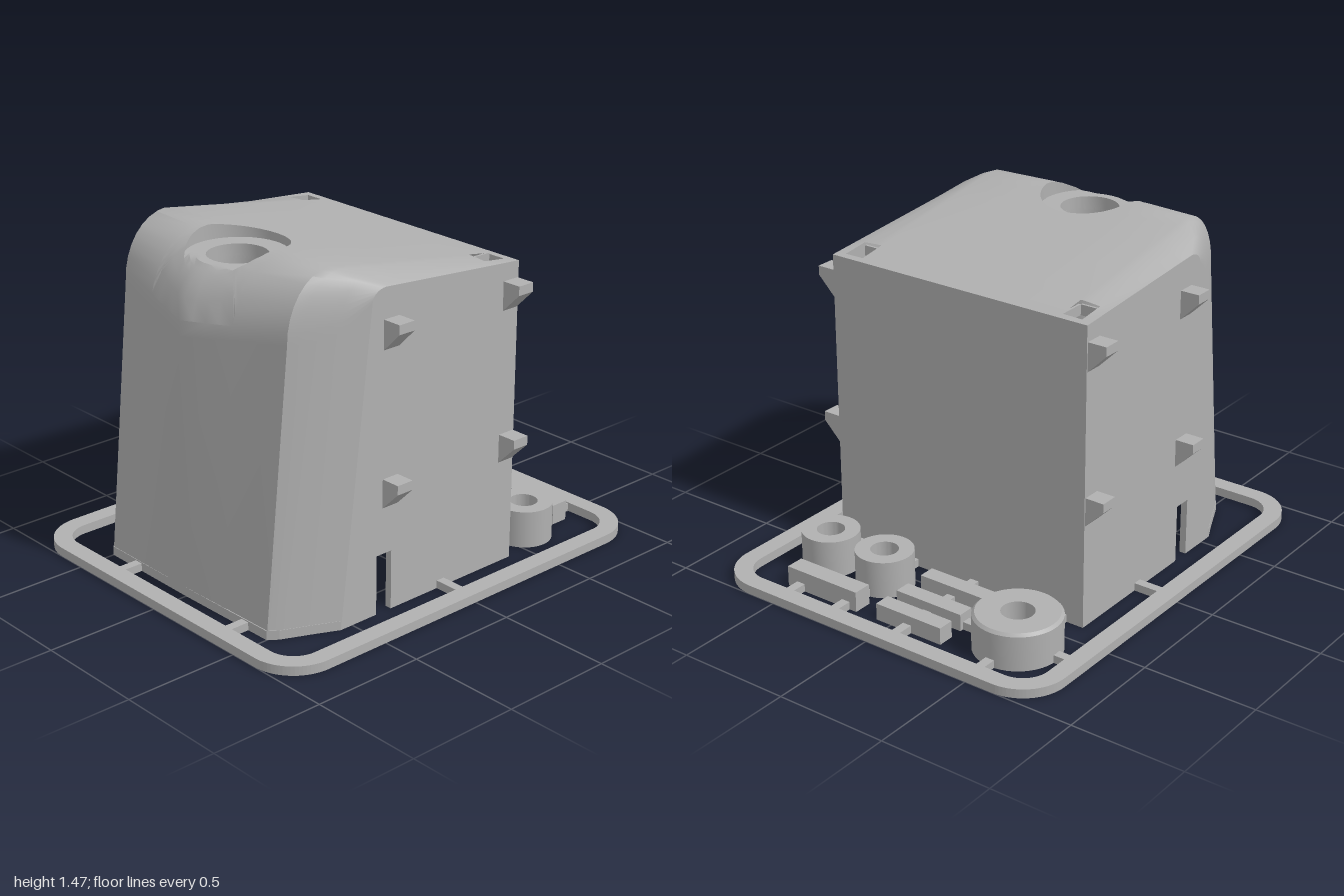
import * as THREE from 'three';
import { toCreasedNormals } from 'three/addons/utils/BufferGeometryUtils.js';

const grey = new THREE.MeshStandardMaterial({ color: 0xb0b0b0, side: THREE.DoubleSide });
grey.name = 'light grey plastic';

// Hood cross-sections: z, base x, shoulder x/y, crest x/y
const SECTIONS = [
  [0, -0.835, -0.835, 1.13, -0.5, 1.465],
  [0.5, -0.83, -0.71, 1.2, -0.5, 1.465],
  [0.53, -0.79, -0.66, 1.2, -0.48, 1.455],
  [0.59, -0.655, -0.52, 1.23, -0.42, 1.42],
  [0.635, -0.56, -0.4, 1.33, -0.33, 1.38],
];
const END = [0.4, 1.32];
const HALF = 0.635;
const HOLE = { x: -0.53, outer: 0.21, inner: 0.125, floor: 1.4 };

const lerp = THREE.MathUtils.lerp;

// Side profile of the hood at a given z, from nose base to the tall end wall
function profile(z) {
  const a = Math.abs(z);
  let k = 0;
  while (k < SECTIONS.length - 2 && a > SECTIONS[k + 1][0]) k++;
  const A = SECTIONS[k], B = SECTIONS[k + 1];
  const t = (a - A[0]) / (B[0] - A[0]);
  const [, bx, sx, sy, cx, cy] = A.map((v, i) => lerp(v, B[i], t));
  const pts = [[bx, 0]];
  for (let i = 0; i <= 8; i++) {
    const q = (i / 8) * Math.PI / 2;
    pts.push([cx - (cx - sx) * Math.cos(q), sy + (cy - sy) * Math.sin(q)]);
  }
  const roofY = (x) => lerp(cy, END[1], (x - cx) / (END[0] - cx));
  for (const f of [1 / 3, 2 / 3, 1]) { const x = lerp(cx, -0.25, f); pts.push([x, roofY(x)]); }
  for (const x of [0.25, 0.37, 0.4]) pts.push([x, roofY(x)]);
  return pts;
}

function heightAt(x, z) {
  const p = profile(z);
  for (let i = 1; i < p.length; i++) {
    if (x <= p[i][0]) {
      const d = p[i][0] - p[i - 1][0];
      return d < 1e-6 ? p[i][1] : lerp(p[i - 1][1], p[i][1], (x - p[i - 1][0]) / d);
    }
  }
  return END[1];
}

// Nose and roof skin, with a counterbored round hole and two corner sockets
function hoodGeometry() {
  const half = [0.125, 0.25, 0.5, 0.53, 0.59, 0.635];
  const zs = [...half.map((z) => -z).reverse(), 0, ...half];
  const grid = zs.map((z) => profile(z).map(([x, y]) => [x, y, z]));
  const pos = [];
  const quad = (a, b, c, d) => pos.push(...a, ...b, ...c, ...a, ...c, ...d);
  const r0 = 2, r1 = 12;
  for (let j = 0; j < zs.length - 1; j++) {
    const zm = Math.abs(zs[j] + zs[j + 1]) / 2;
    for (let i = 0; i < grid[0].length - 1; i++) {
      if (zm < 0.25 && i >= r0 && i < r1) continue;
      if (zm > 0.5 && zm < 0.59 && i === 13) continue;
      quad(grid[j][i], grid[j + 1][i], grid[j + 1][i + 1], grid[j][i + 1]);
    }
  }
  // boundary of the gap around the round hole
  const j0 = zs.indexOf(-0.25), j1 = zs.indexOf(0.25), loop = [];
  for (let i = r0; i < r1; i++) loop.push(grid[j0][i]);
  for (let j = j0; j < j1; j++) loop.push(grid[j][r1]);
  for (let i = r1; i > r0; i--) loop.push(grid[j1][i]);
  for (let j = j1; j > j0; j--) loop.push(grid[j][r0]);
  const fine = loop.flatMap((p, i) => {
    const n = loop[(i + 1) % loop.length];
    return [p, p.map((v, k) => (v + n[k]) / 2)];
  });
  // spokes running from the gap boundary to the circle, down the step and into the bore
  const spokes = fine.map((p) => {
    const dx = p[0] - HOLE.x, dz = p[2], d = Math.hypot(dx, dz);
    const at = (r) => [HOLE.x + dx / d * r, dz / d * r];
    const out = [p];
    for (const f of [1 / 3, 2 / 3, 1]) {
      const [x, z] = at(lerp(d, HOLE.outer, f));
      out.push([x, heightAt(x, z), z]);
    }
    for (const f of [0, 0.25, 0.5, 0.75, 1]) {
      const [x, z] = at(lerp(HOLE.outer, HOLE.inner, f));
      out.push([x, Math.min(heightAt(x, z), HOLE.floor), z]);
    }
    const [x, z] = at(HOLE.inner);
    out.push([x, 1.34, z]);
    return out;
  });
  spokes.forEach((s, i) => {
    const n = spokes[(i + 1) % spokes.length];
    for (let k = 0; k < s.length - 1; k++) quad(s[k], s[k + 1], n[k + 1], n[k]);
  });
  const g = new THREE.BufferGeometry();
  g.setAttribute('position', new THREE.Float32BufferAttribute(pos, 3));
  return toCreasedNormals(g, 0.6);
}

const shapeOf = (pts) => new THREE.Shape(pts.map(([x, y]) => new THREE.Vector2(x, y)));
const extrude = (shape, depth) =>
  new THREE.ExtrudeGeometry(shape, { depth, bevelEnabled: false, curveSegments: 10 });

function roundRect(S, w, h, r) {
  const s = new S();
  s.absarc(w - r, h - r, r, 0, Math.PI / 2);
  s.absarc(-w + r, h - r, r, Math.PI / 2, Math.PI);
  s.absarc(-w + r, -h + r, r, Math.PI, Math.PI * 1.5);
  s.absarc(w - r, -h + r, r, Math.PI * 1.5, Math.PI * 2);
  s.closePath();
  return s;
}

// Hollow round part with an optional chamfer on its top edge
function ring(inner, outer, y0, y1, chamfer = 0) {
  const pts = [[inner, y0], [outer, y0], [outer, y1 - chamfer], [outer - chamfer, y1], [inner, y1], [inner, y0]];
  const g = new THREE.LatheGeometry(pts.map(([x, y]) => new THREE.Vector2(x, y)), 48);
  return toCreasedNormals(g, 0.6);
}

export function createModel() {
  const model = new THREE.Group();
  model.name = 'partsOnFrame';
  const add = (name, geometry, x = 0, y = 0, z = 0) => {
    const m = new THREE.Mesh(geometry, grey);
    m.name = name;
    m.position.set(x, y, z);
    model.add(m);
    return m;
  };
  // box given by its x, y and z ranges
  const block = (name, x0, x1, y0, y1, z0, z1) =>
    add(name, new THREE.BoxGeometry(x1 - x0, y1 - y0, z1 - z0), (x0 + x1) / 2, (y0 + y1) / 2, (z0 + z1) / 2);

  // Flat frame
  const frame = roundRect(THREE.Shape, 1, 0.83, 0.2);
  frame.holes.push(roundRect(THREE.Path, 0.92, 0.75, 0.12));
  add('frame', extrude(frame, 0.04).rotateX(-Math.PI / 2));

  // Hood
  add('hoodSkin', hoodGeometry());
  block('endWall', 0.37, 0.4, 0, 1.32, -HALF, HALF);
  const wall = shapeOf([...profile(HALF), [0.4, 0], [-0.29, 0], [-0.29, 0.26], [-0.37, 0.26], [-0.37, 0]]);
  add('leftWall', extrude(wall, 0.03), 0, 0, HALF - 0.03);
  add('rightWall', extrude(wall, 0.03), 0, 0, -HALF);
  const base = [-1, 1].flatMap((s) => {
    const half = SECTIONS.map((q) => [q[1], s * q[0]]);
    return s < 0 ? half.reverse() : half.slice(1);
  });
  const inner = base.map(([x, z]) => [x + 0.04, z * 0.95]).reverse();
  add('noseRim', extrude(shapeOf([...base, ...inner]), 0.04).rotateX(-Math.PI / 2));
  add('boreTube', ring(HOLE.inner, 0.2, 0.3, 1.35), HOLE.x);

  // Wedge tabs on both walls, and the corner sockets
  const wedge = shapeOf([[0, 0], [0.085, 0.085], [0.085, 0.125], [0, 0.125]]);
  for (const s of [-1, 1]) {
    for (const x of [-0.3, 0.355]) {
      for (const y of [0.46, 1.125]) {
        const tab = add('wedgeTab', extrude(wedge, 0.08), x - s * -0.04, y, s * HALF);
        tab.rotation.y = -s * Math.PI / 2;
      }
    }
    block('socketSide', 0.25, 0.37, 1.28, 1.325, s * 0.495 - 0.005, s * 0.495 + 0.005);
    block('socketBack', 0.24, 0.25, 1.28, 1.325, s * 0.545 - 0.045, s * 0.545 + 0.045);
  }

  // Loose wheels and bars
  add('largeWheel', ring(0.07, 0.185, 0, 0.165, 0.012), 0.67, 0, -0.51);
  for (const z of [0.235, 0.53]) add('smallWheel', ring(0.06, 0.125, 0, 0.165), 0.595, 0, z);
  for (const x of [0.52, 0.677, 0.807]) block('shortBar', x - 0.037, x + 0.037, 0, 0.075, -0.255, 0.075);
  block('longBar', 0.765, 0.848, 0, 0.09, 0.18, 0.55);

  // Runners joining the parts to the frame: along x, then along z
  const alongX = [
    [-0.93, -0.8, -0.32], [-0.93, -0.8, 0.37], [0.39, 0.5, -0.535], [0.84, 0.93, -0.51], [0.39, 0.92, -0.085],
    [0.39, 0.48, 0.235], [0.71, 0.77, 0.235], [0.84, 0.93, 0.235], [0.39, 0.48, 0.53], [0.71, 0.77, 0.5], [0.84, 0.93, 0.48],
  ];
  for (const [x0, x1, z] of alongX) block('runner', x0, x1, 0, 0.035, z - 0.02, z + 0.02);
  const alongZ = [[0.005, -0.76, -0.62], [-0.01, 0.62, 0.76], [0.665, -0.76, -0.68], [0.677, -0.34, -0.25]];
  for (const [x, z0, z1] of alongZ) block('runner', x - 0.02, x + 0.02, 0, 0.035, z0, z1);
  return model;
}
